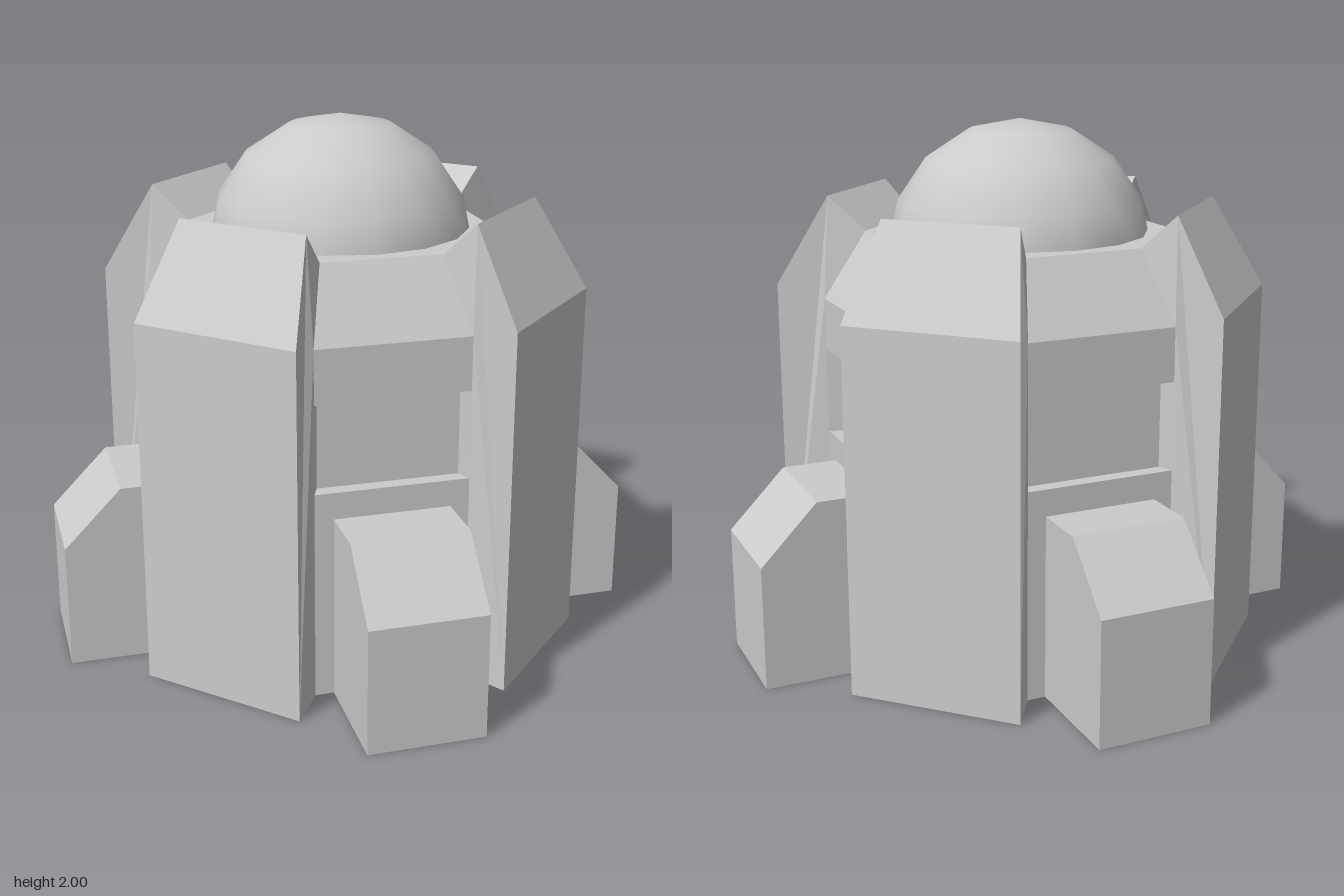
import * as THREE from 'three';

const grey = new THREE.MeshStandardMaterial({ color: 0xcccccc, flatShading: true, side: THREE.DoubleSide });
const smoothGrey = new THREE.MeshStandardMaterial({ color: 0xcccccc, side: THREE.DoubleSide });
const OCT = Math.tan(Math.PI / 8);

function add(parent, name, geometry, material = grey) {
  const mesh = new THREE.Mesh(geometry, material);
  mesh.name = name;
  parent.add(mesh);
  return mesh;
}

// Half-width of a pillar at distance z and height y
const halfWidth = (z, y) => z * (z < 0.7 && y < 1.6 ? OCT : 0.374);

// Folded sheet facing +z, following [z, y] rows
function foldedSheet(rows, widthAt) {
  const pos = [], index = [];
  rows.forEach(([z, y], i) => {
    const w = widthAt(z, y);
    pos.push(-w, y, z, w, y, z);
    if (i) {
      const a = 2 * i - 2;
      index.push(a, a + 1, a + 3, a, a + 3, a + 2);
    }
  });
  const g = new THREE.BufferGeometry();
  g.setAttribute('position', new THREE.Float32BufferAttribute(pos, 3));
  g.setIndex(index);
  const flat = g.toNonIndexed();
  flat.computeVertexNormals();
  return flat;
}

const shapeOf = pts => new THREE.Shape(pts.map(p => new THREE.Vector2(...p)));

const wallRows = [[0.69, 0], [0.69, 0.79], [0.635, 0.79], [0.635, 1.12], [0.69, 1.12], [0.69, 1.32], [0.54, 1.58]];
const pillarRows = [[0.87, 0], [0.87, 1.37], [0.68, 1.71], [0.54, 1.58]];

// One cheek of a pillar, closing it against the recessed wall
function pillarSide(sign) {
  const outline = [...pillarRows, ...wallRows.slice(0, -1).reverse()];
  const g = new THREE.ShapeGeometry(shapeOf(outline));
  const p = g.attributes.position;
  for (let i = 0; i < p.count; i++) {
    const z = p.getX(i), y = p.getY(i);
    p.setXYZ(i, sign * halfWidth(z, y), y, z);
  }
  if (sign > 0) g.setIndex([...g.index.array].reverse());
  g.computeVertexNormals();
  return g;
}

function makePillar() {
  const pillar = new THREE.Group();
  pillar.name = 'pillar';
  add(pillar, 'pillarFace', foldedSheet(pillarRows, halfWidth));
  for (const s of [-1, 1]) add(pillar, 'pillarSide', pillarSide(s));
  // Raised panel on the inside of the face
  add(pillar, 'innerPanel', new THREE.BoxGeometry(0.52, 1.23, 0.05)).position.set(0, 0.685, 0.84);
  add(pillar, 'windowPanel', new THREE.PlaneGeometry(0.45, 0.33)).position.set(0, 0.955, 0.872);
  return pillar;
}

function makeBay() {
  const bay = new THREE.Group();
  bay.name = 'bay';
  add(bay, 'recessedWall', foldedSheet(wallRows, z => z * OCT));
  // Buttress with a sloped top edge
  const g = new THREE.ExtrudeGeometry(
    shapeOf([[0.69, 0], [1.114, 0], [1.114, 0.47], [0.9, 0.69], [0.69, 0.69]]),
    { depth: 0.432, bevelEnabled: false });
  g.translate(0, 0, -0.216).rotateY(-Math.PI / 2);
  add(bay, 'buttress', g);
  return bay;
}

export function createModel() {
  const model = new THREE.Group();
  model.name = 'domedTower';

  // Four pillars alternating with four recessed bays
  for (let i = 0; i < 8; i++) {
    const part = i % 2 ? makeBay() : makePillar();
    part.rotation.y = i * Math.PI / 4;
    model.add(part);
  }

  // Flat octagonal roof
  const roof = new THREE.CircleGeometry(0.54 / Math.cos(Math.PI / 8), 8, Math.PI / 8);
  roof.rotateX(-Math.PI / 2).translate(0, 1.58, 0);
  add(model, 'roof', roof);

  // Dome rising through the roof
  const dome = new THREE.SphereGeometry(0.5, 16, 4, 0, Math.PI * 2, 0, Math.PI / 2);
  dome.scale(1, 0.98, 1).translate(0, 1.51, 0);
  add(model, 'dome', dome, smoothGrey);

  return model;
}
